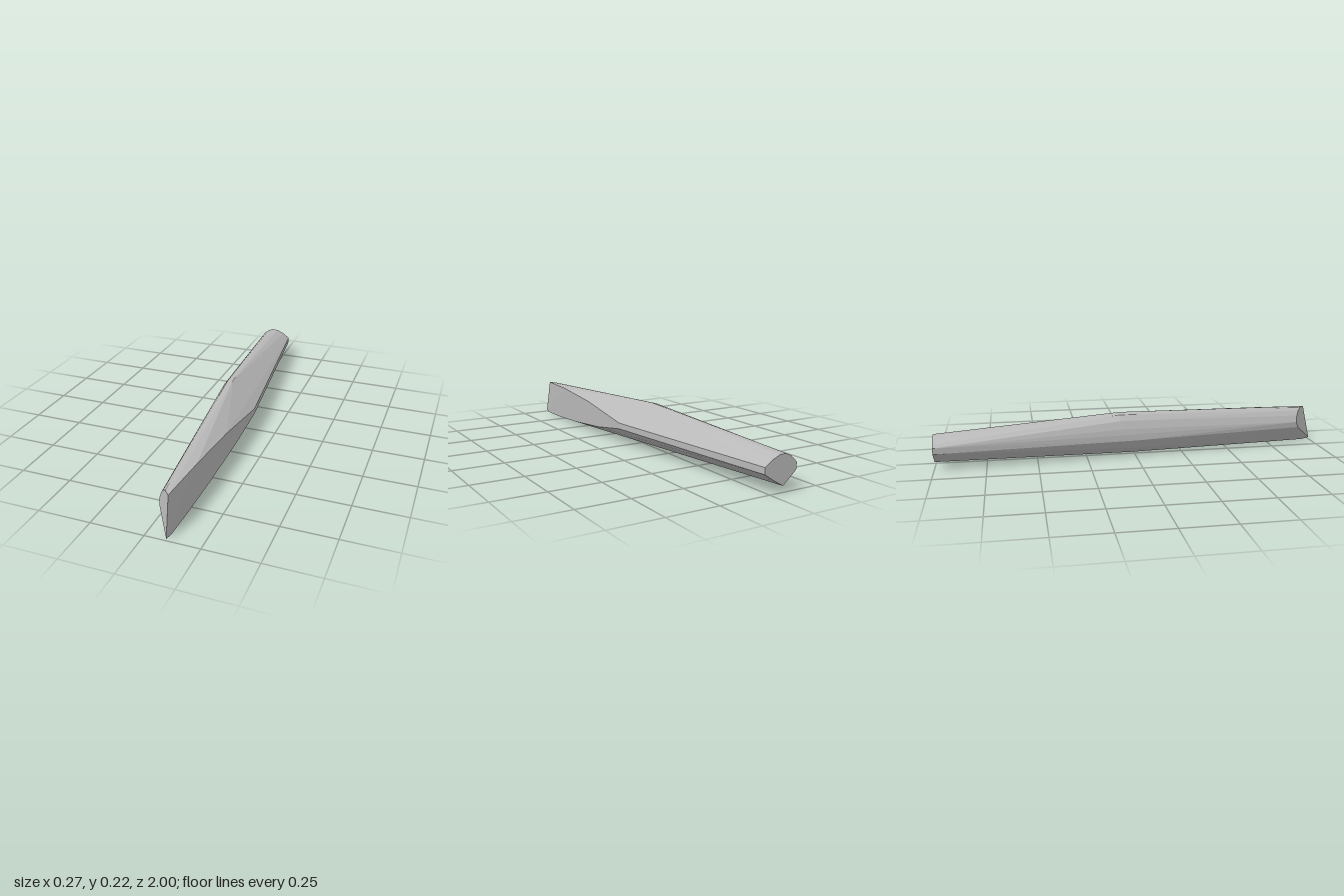
import * as THREE from 'three';
import { ConvexGeometry } from 'three/addons/geometries/ConvexGeometry.js';

export function createModel() {
  const group = new THREE.Group();
  group.name = 'chiselBlade';
  const stone = new THREE.MeshStandardMaterial({ color: 0xb8b8b8 });
  stone.name = 'stoneGrey';

  // Slanted tip plane: depth follows from x and y
  const tipZ = (x, y) => 0.892 + 1.1 * x - 0.22 * y;
  // Long flat side: x follows from depth
  const sideX = (z) => 0.137 - 0.037 * z;

  // Blunt butt at the back [x, y]
  const butt = [
    [0.03, 0.12], [0.03, 0.09], [-0.02, 0.056], [-0.068, 0.028], [-0.136, 0.087], [-0.138, 0.117],
    [-0.127, 0.132], [-0.105, 0.152], [-0.078, 0.164], [-0.045, 0.163], [-0.005, 0.145],
  ].map(([x, y]) => [x, y, -1]);

  // Widest section at mid length [x, y, z]
  const middle = [
    [0.137, 0.12, 0], [0.137, 0.09, 0], [0.07, 0.042, 0], [-0.007, 0.01, 0],
    [-0.04, 0.04, 0], [-0.07, 0.088, 0], [-0.073, 0.12, -0.04], [-0.07, 0.15, -0.06],
    [-0.058, 0.19, -0.08], [-0.037, 0.217, -0.08], [-0.007, 0.225, -0.08],
  ];

  // Slanted cutting tip [x, y]
  const tip = [
    [0.095, 0.19], [0.07, 0.19], [0.052, 0.177], [0.036, 0.153], [0.024, 0.12], [0.03, 0.09], [0.1, 0.01],
  ].map(([x, y]) => [x, y, tipZ(x, y)]);

  // Outline of the long flat side [y, z]
  const side = [
    [0.19, 0.7], [0.168, 0.37], [0.05, 0.25], [0.02, 0.55], [0.004, 0.8], [0, 0.96],
  ].map(([y, z]) => [sideX(z), y, z]);

  const points = [...butt, ...middle, ...tip, ...side].map((p) => new THREE.Vector3(...p));
  const blade = new THREE.Mesh(new ConvexGeometry(points), stone);
  blade.name = 'blade';
  group.add(blade);
  return group;
}
